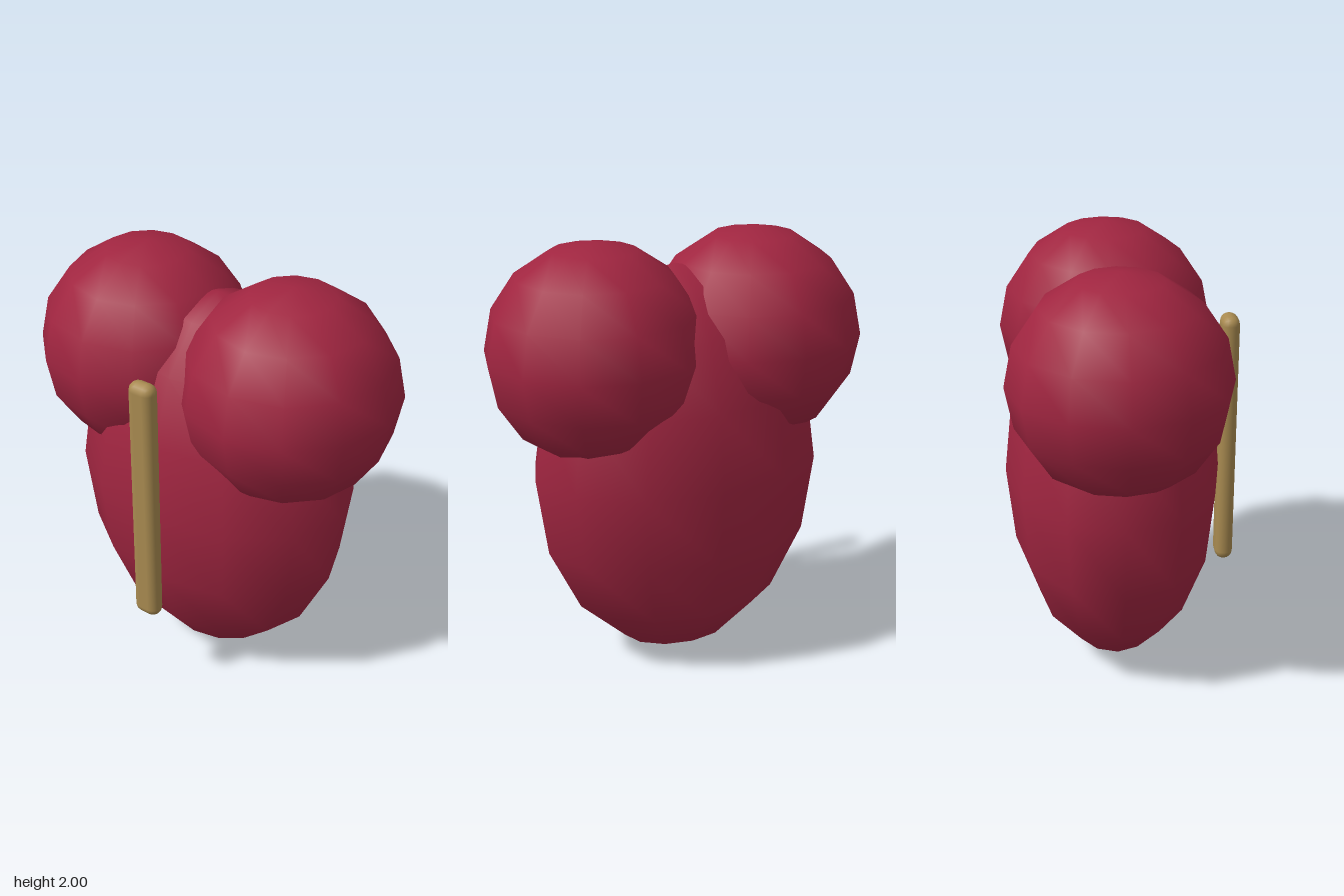
import * as THREE from 'three';
import { RoundedBoxGeometry } from 'three/addons/geometries/RoundedBoxGeometry.js';

const crimson = new THREE.MeshStandardMaterial({ color: 0xa02540 });
crimson.name = 'crimson';
const gold = new THREE.MeshStandardMaterial({ color: 0xa88a50 });
gold.name = 'gold';

export function createModel() {
  const group = new THREE.Group();
  group.name = 'heart';

  const add = (name, geometry, material, x, y, z) => {
    const mesh = new THREE.Mesh(geometry, material);
    mesh.name = name;
    mesh.position.set(x, y, z);
    group.add(mesh);
  };

  // Flattened egg-shaped body
  const body = new THREE.SphereGeometry(1, 12, 8).scale(0.69, 0.93, 0.498);
  add('body', body, crimson, 0, 0.935, -0.038);

  // Two round upper lobes
  const lobe = new THREE.SphereGeometry(0.498, 12, 8);
  add('leftLobe', lobe, crimson, 0.39, 1.502, -0.038);
  add('rightLobe', lobe, crimson, -0.39, 1.502, -0.038);

  // Upright rounded bar along the front
  add('frontBar', new RoundedBoxGeometry(0.13, 1.23, 0.085, 2, 0.0425), gold, 0, 1.045, 0.494);

  return group;
}
